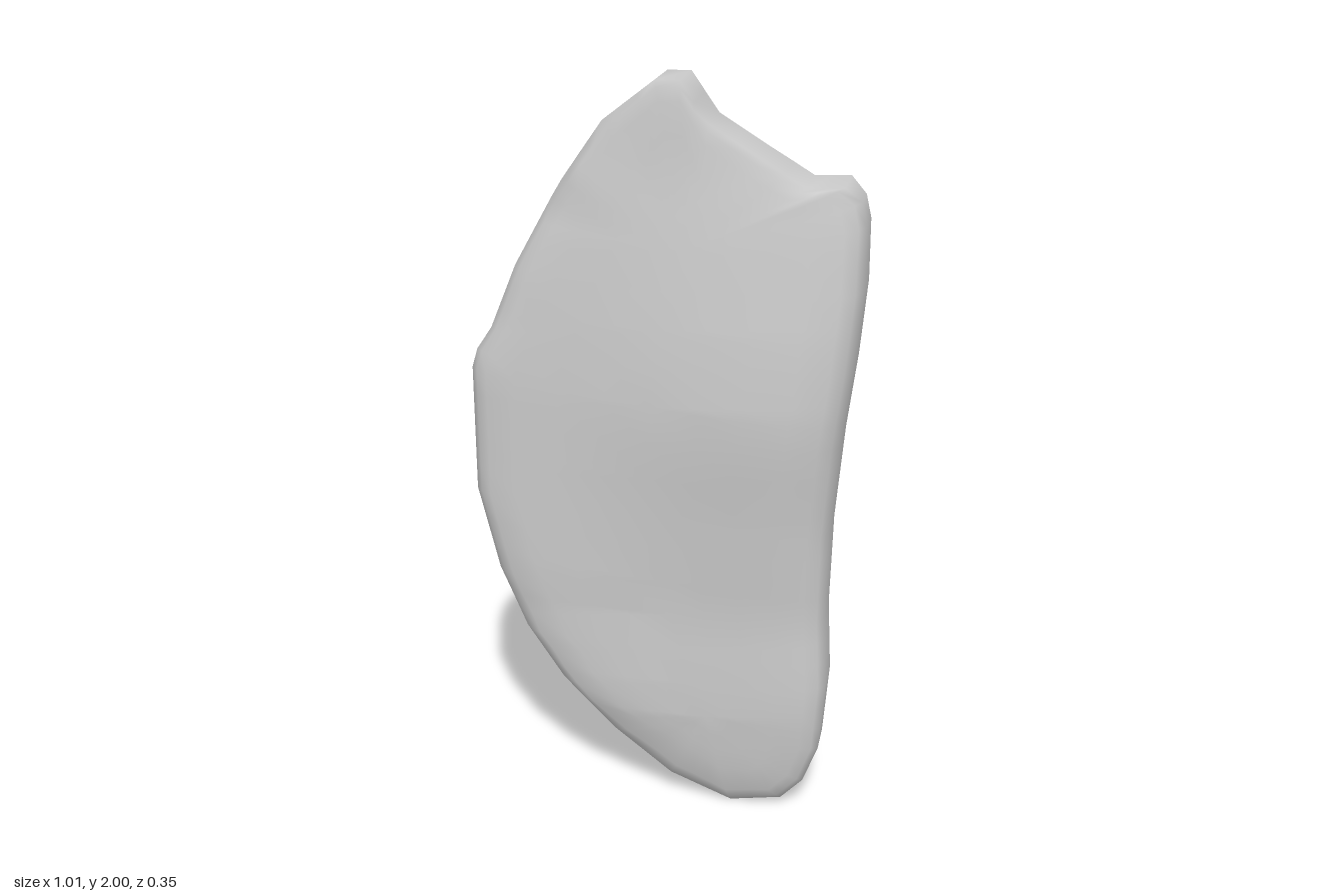
import * as THREE from 'three';
import { mergeVertices } from 'three/addons/utils/BufferGeometryUtils.js';

// Silhouette, clockwise from the upper tip
const outline = [
  [-0.01, 2], [0.05, 2], [0.12, 1.9], [0.25, 1.82], [0.36, 1.755], [0.45, 1.76], [0.49, 1.72],
  [0.503, 1.66], [0.503, 1.5], [0.485, 1.3], [0.46, 1.1], [0.44, 0.85], [0.435, 0.6], [0.445, 0.4],
  [0.43, 0.2], [0.39, 0.09], [0.33, 0.025], [0.19, 0], [0.02, 0.07], [-0.14, 0.2], [-0.28, 0.35],
  [-0.38, 0.5], [-0.45, 0.67], [-0.505, 0.9], [-0.505, 1.24], [-0.49, 1.29], [-0.45, 1.35],
  [-0.38, 1.52], [-0.28, 1.7], [-0.14, 1.9],
];

// Depth of the thickest line by height, towards the front and the back
const frontDepth = [[0, 0.07], [0.33, 0.11], [0.6, 0.11], [0.9, 0.145], [1.15, 0.18], [1.35, 0.172], [1.6, 0.14], [1.8, 0.11]];
const backDepth = [[0, 0.12], [0.33, 0.138], [0.6, 0.128], [0.87, 0.145], [1.12, 0.175], [1.35, 0.165], [1.55, 0.13], [1.76, 0.075], [2, 0.07]];
// Fullness by distance in from the rim
const rimCurve = [[0, 0.45], [0.018, 0.64], [0.05, 0.86], [0.13, 0.97], [0.22, 1]];

function sample(table, v) {
  if (v <= table[0][0]) return table[0][1];
  for (let i = 1; i < table.length; i++) {
    const [a, p] = table[i - 1], [b, q] = table[i];
    if (v <= b) return p + (q - p) * (v - a) / (b - a);
  }
  return table[table.length - 1][1];
}

// The slab is thin along the left side and swells to the right
function depth(table, x, y, inset, rimY, rimX) {
  const full = sample(table, y);
  const swell = THREE.MathUtils.smoothstep(x, -0.5, 0.25);
  const body = THREE.MathUtils.lerp(Math.min(0.115, full), full, swell);
  // The top edge is blunter than the rest of the rim
  const blunt = THREE.MathUtils.smoothstep(rimY, 1.7, 1.77) * (1 - THREE.MathUtils.smoothstep(rimX, 0.44, 0.49));
  return body * THREE.MathUtils.lerp(sample(rimCurve, inset), 1, blunt * 0.75);
}

function slabGeometry() {
  // Subdivide the outline evenly
  const rim = [];
  outline.forEach(([x, y], i) => {
    const [u, v] = outline[(i + 1) % outline.length];
    const n = Math.ceil(Math.hypot(u - x, v - y) / 0.08);
    for (let k = 0; k < n; k++) rim.push([x + (u - x) * k / n, y + (v - y) * k / n]);
  });

  // Each strip runs from the spine over the front, round the rim and back to the spine
  const positions = [], index = [];
  let width = 0;
  for (const [x, y] of rim) {
    const sy = Math.round(THREE.MathUtils.clamp(y, 0.3, 1.6) * 10) / 10;
    const sx = sample([[0.3, 0.13], [0.6, 0.03], [1, -0.02], [1.3, 0], [1.6, 0.08]], sy);
    const len = Math.hypot(sx - x, sy - y);
    const insets = [0, 0.018, 0.05, 0.13, 0.13 + (len - 0.13) * 0.33, 0.13 + (len - 0.13) * 0.66, len];
    const strip = side => insets.map(d => {
      const px = x + (sx - x) * d / len, py = y + (sy - y) * d / len;
      return [px, py, side * depth(side > 0 ? frontDepth : backDepth, px, py, d, y, x)];
    });
    const points = [...strip(1).reverse(), ...strip(-1)];
    width = points.length;
    positions.push(...points.flat());
  }
  for (let i = 0; i < rim.length; i++) {
    const next = (i + 1) % rim.length;
    for (let j = 0; j < width - 1; j++) {
      const a = i * width + j, b = next * width + j;
      index.push(a, b, b + 1, a, b + 1, a + 1);
    }
  }
  let geometry = new THREE.BufferGeometry();
  geometry.setAttribute('position', new THREE.Float32BufferAttribute(positions, 3));
  geometry.setIndex(index);
  geometry = mergeVertices(geometry, 1e-4);
  geometry.computeVertexNormals();
  return geometry;
}

export function createModel() {
  const group = new THREE.Group();
  group.name = 'curvedStone';
  const body = new THREE.Mesh(slabGeometry(), new THREE.MeshStandardMaterial({ color: 0xcccccc }));
  body.name = 'stoneBody';
  group.add(body);
  return group;
}
